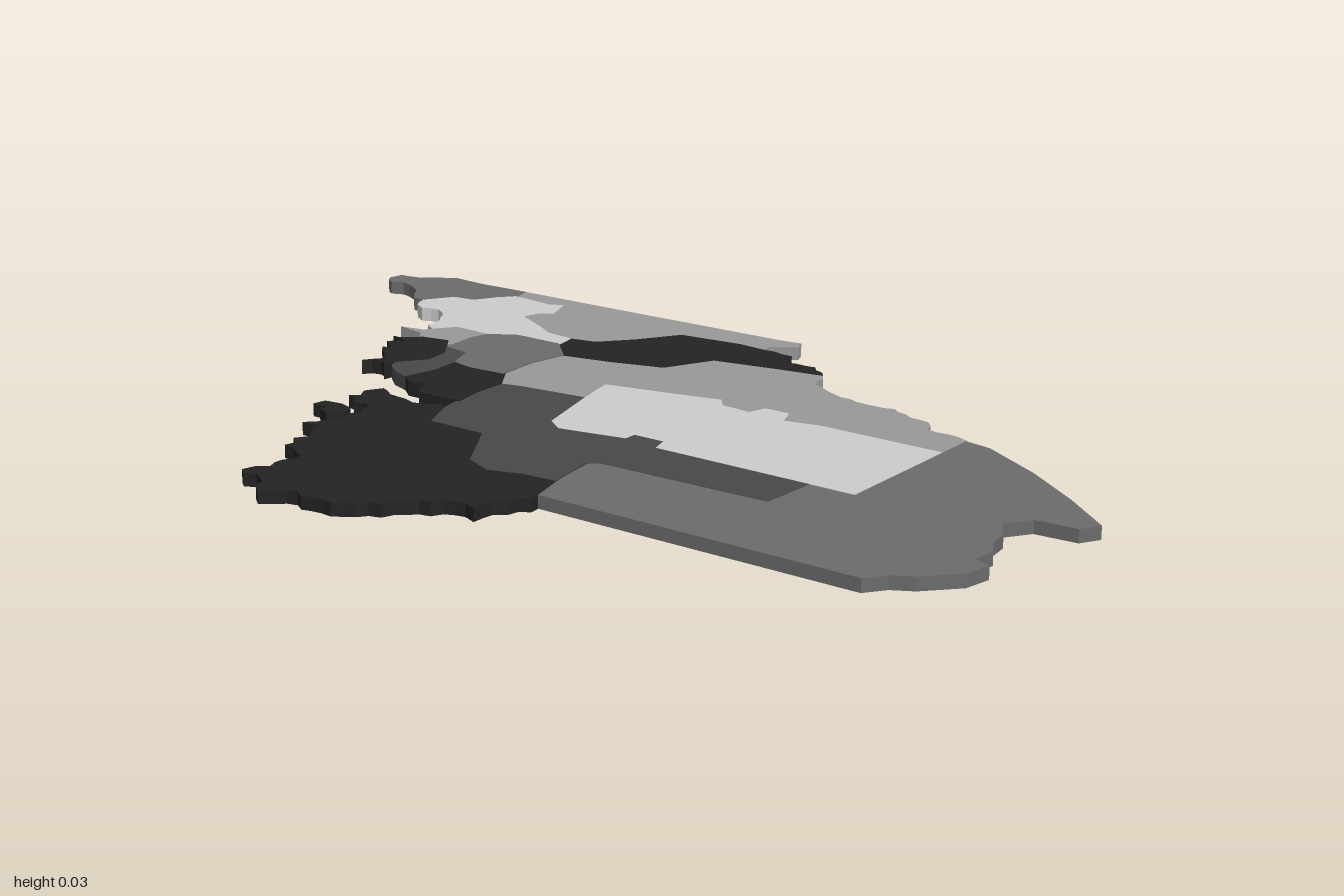
import * as THREE from 'three';

// Outlines are in survey cells: x to the right, z towards the front.
const CELLS = 188.6, CENTRE_X = 1134, CENTRE_Z = 224.6;
// Each later slab is a hair thicker, so it covers the hidden edges tucked beneath it.
const THICKNESS = 0.03, STEP = 0.0002, LAYERS = 15;

const flat = (name, color) => Object.assign(new THREE.MeshStandardMaterial({ color }), { name });
const paleGrey = flat('pale grey', 0xcccccc);
const lightGrey = flat('light grey', 0x989898);
const midGrey = flat('mid grey', 0x6b6b6b);
const darkGrey = flat('dark grey', 0x484848);
const nearBlack = flat('near black', 0x232323);

function seeded(seed) {
  return () => {
    seed = (seed * 16807) % 2147483647;
    return seed / 2147483647;
  };
}

// Breaks a coast into short steps that wander to either side of the line
function ragged(coast, amount, random) {
  const points = [];
  coast.forEach(([x, z], i) => {
    points.push([x, z]);
    if (i === coast.length - 1) return;
    const dx = coast[i + 1][0] - x, dz = coast[i + 1][1] - z;
    const length = Math.hypot(dx, dz), steps = Math.max(1, Math.round(length / 4));
    for (let k = 1; k < steps; k++) {
      const t = k / steps, shift = (random() - 0.5) * 2 * amount / length;
      points.push([x + dx * t - dz * shift, z + dz * t + dx * shift]);
    }
  });
  return points;
}

export function createModel() {
  const model = new THREE.Group();
  model.name = 'regionMap';
  const random = seeded(41);

  // A flat slab closed by a smooth border and a coast of the given roughness
  function region(name, material, border, coast = [], roughness = 0) {
    const outline = [...border, ...(roughness ? ragged(coast, roughness, random) : coast)];
    const points = outline.map(([x, z]) => new THREE.Vector2((x - CENTRE_X) / CELLS, (CENTRE_Z - z) / CELLS));
    const inset = (LAYERS - 1 - model.children.length) * STEP;
    const geometry = new THREE.ExtrudeGeometry(new THREE.Shape(points), {
      depth: THICKNESS - 2 * inset, bevelEnabled: false,
    });
    geometry.rotateX(-Math.PI / 2).translate(0, inset, 0);
    const mesh = new THREE.Mesh(geometry, material);
    mesh.name = name;
    model.add(mesh);
  }

  // South and west
  region('southRegion', midGrey,
    [[1061, 379], [1061, 259], [1075, 255], [1110, 250], [1150, 330], [1192, 337]],
    [[1190, 348], [1176, 372], [1160, 394], [1144, 413], [1137, 409], [1136, 394], [1127, 388], [1119, 393],
      [1111, 394], [1104, 398], [1095, 397], [1093, 403], [1083, 401], [1072, 391], [1068, 384]]);
  region('westRegion', nearBlack,
    [[1118, 180], [1105, 210], [1080, 225], [1080, 254]],
    [[1061, 259], [1055, 256], [1039, 251], [1041, 246], [1035, 237], [1020, 219], [1016, 208], [1016, 193],
      [1010, 186], [1020, 177], [1022, 167], [1030, 172], [1044, 172], [1049, 160], [1064, 158], [1073, 155],
      [1071, 147], [1079, 152], [1092, 155], [1100, 149], [1104, 138], [1118, 142], [1113, 157], [1115, 174]], 2.2);
  region('westIsland', nearBlack,
    [[1084, 146], [1086, 141], [1089, 142], [1089, 135], [1094, 136], [1095, 143], [1093, 149], [1088, 151]]);

  // Middle
  region('innerWestRegion', darkGrey,
    [[1115, 174], [1133, 171], [1150, 172], [1160, 190], [1155, 215], [1140, 300], [1122, 321], [1100, 320],
      [1098, 256], [1095, 251], [1075, 255], [1074, 242], [1070, 230], [1075, 219], [1099, 204], [1099, 181]]);
  region('innerEastRegion', lightGrey,
    [[1192, 338], [1170, 338], [1153, 206], [1150, 180], [1148, 172], [1157, 163], [1190, 163], [1200, 180],
      [1225, 215], [1230, 245]],
    [[1227, 258], [1216, 262], [1210, 274], [1207, 285], [1208, 300], [1203, 309], [1202, 317], [1195, 321],
      [1192, 338]], 1.2);
  region('centreRegion', paleGrey,
    [[1124, 214], [1153, 206], [1170, 202], [1175, 225], [1180, 246], [1175, 250], [1174, 262], [1181, 264],
      [1181, 274], [1173, 277], [1176, 290], [1176, 338], [1122, 338], [1122, 260], [1129, 258], [1129, 246],
      [1124, 246], [1119, 221]]);

  // East and northern tip
  region('eastStrip', lightGrey,
    [[1235, 215], [1215, 175], [1203, 152], [1215, 110], [1240, 100], [1254, 97], [1255, 150], [1257, 219],
      [1258, 228], [1253, 230], [1247, 221], [1242, 222]]);
  region('northTip', midGrey,
    [[1254, 59], [1253, 75], [1254, 97], [1246, 98], [1235, 96], [1219, 73]],
    [[1219, 67], [1230, 58], [1235, 47], [1233, 42], [1238, 37], [1244, 38], [1245, 46], [1254, 59]], 0.8);
  region('eastRegion', nearBlack,
    [[1227, 258], [1224, 240], [1219, 215], [1200, 206], [1194, 186], [1190, 167], [1200, 155], [1210, 155],
      [1212, 165], [1224, 175], [1240, 185], [1243, 210]],
    [[1242, 222], [1241, 235], [1233, 238], [1234, 250], [1227, 258]], 0.8);
  region('northRegion', paleGrey,
    [[1219, 72], [1230, 79], [1231, 88], [1240, 93], [1246, 98], [1244, 117], [1247, 122], [1234, 127],
      [1231, 122], [1224, 120], [1216, 135], [1211, 143], [1210, 155], [1199, 157], [1194, 130]],
    [[1188, 104], [1191, 99], [1199, 98], [1207, 93], [1211, 87], [1209, 80], [1212, 75], [1219, 72]], 0.8);

  // Small regions along the north coast
  region('northCoastRegion', lightGrey,
    [[1188, 104], [1196, 110], [1195, 130], [1178, 128], [1174, 120], [1175, 112]],
    [[1177, 107], [1181, 104], [1183, 92], [1185, 102]]);
  region('northHarbourRegion', darkGrey,
    [[1148, 122], [1165, 126], [1174, 128], [1172, 138], [1158, 143], [1146, 144]],
    [[1133, 139], [1136, 131], [1141, 125]]);
  region('northBayRegion', nearBlack,
    [[1177, 109], [1179, 120], [1172, 125], [1165, 130], [1155, 131], [1145, 124]],
    [[1139, 123], [1143, 118], [1139, 112], [1146, 117], [1157, 106], [1160, 111], [1164, 102], [1168, 108],
      [1171, 99], [1173, 105]], 1.5);
  region('northInletRegion', nearBlack,
    [[1133, 139], [1146, 142], [1160, 141], [1160, 164], [1148, 172], [1133, 172], [1122, 174]],
    [[1121, 156], [1131, 152], [1129, 144]], 1);
  region('northMiddleRegion', midGrey,
    [[1157, 165], [1156, 150], [1158, 141], [1170, 136], [1172, 125], [1188, 124], [1195, 126], [1201, 136],
      [1201, 156], [1190, 167], [1175, 164]]);

  return model;
}
